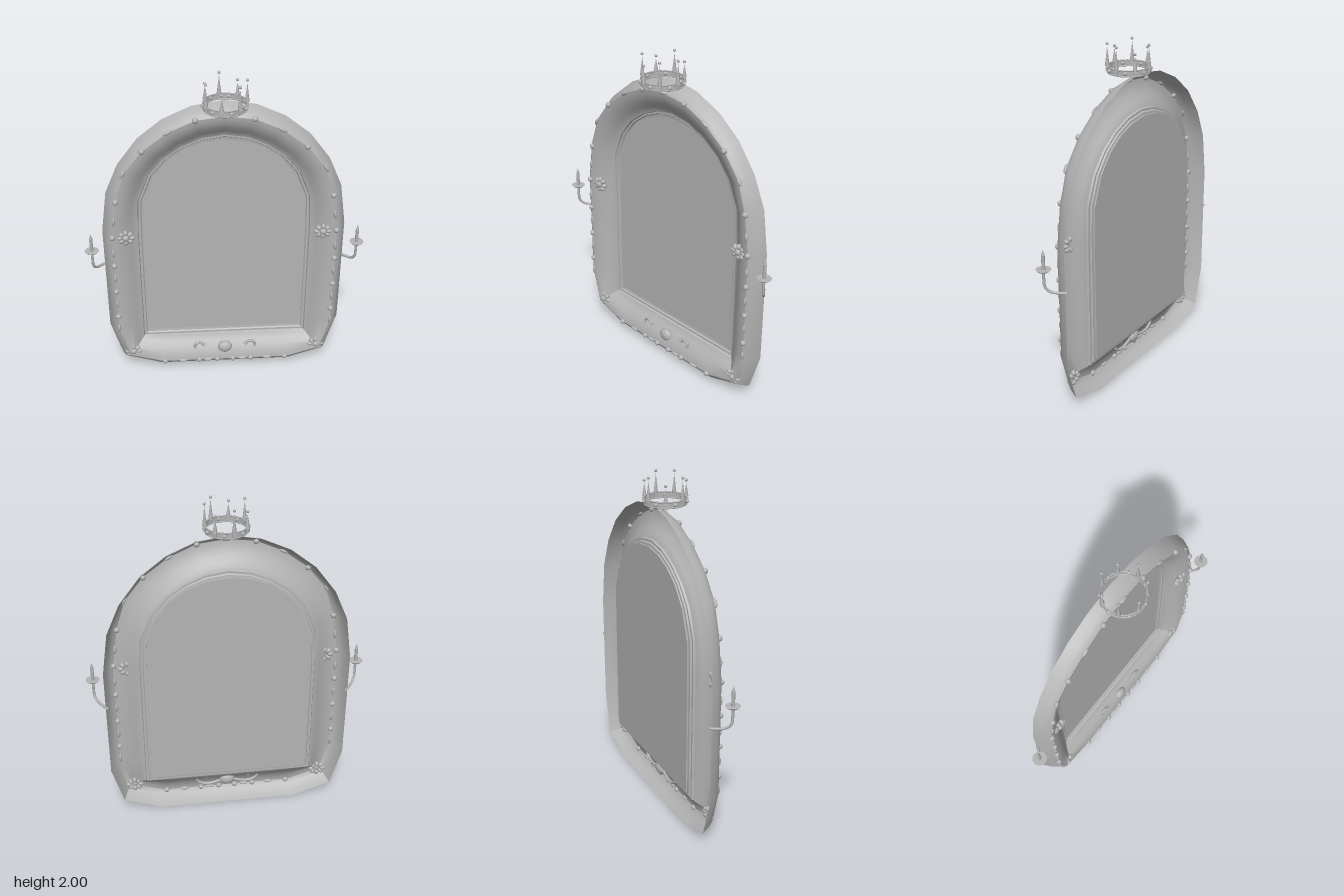
import * as THREE from 'three';
import { toCreasedNormals } from 'three/addons/utils/BufferGeometryUtils.js';

const V = (x, y, z = 0) => new THREE.Vector3(x, y, z);

// Half outlines, from bottom centre up the +x side to top centre
const outer = [[0, 0], [.42, 0], [.655, .08], [.725, .32], [.725, 1.02], [.688, 1.28], [.61, 1.46], [.49, 1.62], [.345, 1.735], [.18, 1.81], [0, 1.84]];
const ridge = [[0, .065], [.4, .065], [.605, .13], [.665, .34], [.665, 1.02], [.63, 1.26], [.575, 1.44], [.465, 1.58], [.32, 1.69], [.165, 1.76], [0, 1.78]];
const inner = [[0, .215], [.38, .215], [.515, .215], [.515, .36], [.515, 1], [.505, 1.22], [.44, 1.38], [.35, 1.49], [.245, 1.565], [.13, 1.615], [0, 1.635]];
const pane = [[0, .255], [.36, .255], [.475, .255], [.475, .38], [.475, 1], [.47, 1.2], [.405, 1.37], [.32, 1.475], [.225, 1.54], [.12, 1.58], [0, 1.595]];

const closeLoop = half => [...half, ...half.slice(1, -1).reverse().map(([x, y]) => [-x, y])];

// Moulding section: from outline, to outline, blend, z
const section = [
  [outer, ridge, 0, -.09], [outer, ridge, .06, -.08], [outer, ridge, .2, -.06], [outer, ridge, .4, -.036],
  [outer, ridge, .68, -.013], [outer, ridge, 1, -.001],
  [ridge, inner, .15, -.004], [ridge, inner, .35, -.014], [ridge, inner, .55, -.03], [ridge, inner, .75, -.053],
  [ridge, inner, .9, -.07], [ridge, inner, 1, -.076],
  [inner, pane, .12, -.088], [inner, pane, .45, -.088], [inner, pane, .6, -.096], [inner, pane, 1, -.098],
];

function mouldingGeometry() {
  const pos = [], index = [], n = closeLoop(outer).length;
  for (const [from, to, t, z] of section) {
    const a = closeLoop(from), b = closeLoop(to);
    a.forEach((p, i) => pos.push(p[0] + (b[i][0] - p[0]) * t, p[1] + (b[i][1] - p[1]) * t, z));
  }
  for (let j = 0; j < section.length - 1; j++) for (let i = 0; i < n; i++) {
    const a = j * n + i, b = j * n + (i + 1) % n;
    index.push(a, b, a + n, b, b + n, a + n);
  }
  const g = new THREE.BufferGeometry();
  g.setAttribute('position', new THREE.Float32BufferAttribute(pos, 3));
  g.setIndex(index);
  return toCreasedNormals(g, .6);
}

export function createModel() {
  const root = new THREE.Group();
  const grey = new THREE.MeshStandardMaterial({ color: 0xb4b4b4, side: THREE.DoubleSide });
  grey.name = 'plain grey';

  const add = (parent, name, geometry, x = 0, y = 0, z = 0) => {
    const m = new THREE.Mesh(geometry, grey);
    m.name = name;
    m.position.set(x, y, z);
    parent.add(m);
    return m;
  };
  const group = (name, x = 0, y = 0, z = 0) => {
    const g = new THREE.Group();
    g.name = name;
    g.position.set(x, y, z);
    root.add(g);
    return g;
  };

  // Hollow moulded frame and the mirror pane behind it
  add(root, 'frame', mouldingGeometry());
  const paneShape = new THREE.Shape(closeLoop(pane).map(([x, y]) => new THREE.Vector2(x, y)));
  add(root, 'mirrorPane', new THREE.ExtrudeGeometry(paneShape, { depth: .008, bevelEnabled: false }), 0, 0, -.106);

  // Round and long beads along the ridge
  const ball = new THREE.SphereGeometry(1, 12, 8);
  const beads = group('ridgeBeads');
  const roundBeads = [[.05, .065], [.165, .065], [.385, .065], [.663, .44], [.663, .63], [.663, .82], [.663, 1.02], [.63, 1.26], [.465, 1.58], [.165, 1.76]];
  const longBeads = [[.11, .065, 0], [.27, .065, 0], [.663, .35, 1.57], [.663, .535, 1.57], [.663, .725, 1.57], [.663, .91, 1.57], [.648, 1.13, 1.7], [.578, 1.44, 2.1], [.32, 1.69, 2.6]];
  for (const s of [1, -1]) {
    for (const [x, y] of roundBeads) add(beads, 'roundBead', ball, s * x, y, -.002).scale.setScalar(.017);
    for (const [x, y, a] of longBeads) {
      const m = add(beads, 'longBead', ball, s * x, y, -.002);
      m.scale.set(.028, .01, .011);
      m.rotation.z = s * a;
    }
  }
  add(beads, 'longBead', ball, 0, 1.78, -.002).scale.set(.028, .01, .011);

  // Flower rosettes
  for (const s of [1, -1]) for (const y of [.148, 1.008]) {
    const flower = group('rosette', s * .585, y, -.018);
    add(flower, 'flowerCentre', ball, 0, 0, .008).scale.set(.02, .02, .016);
    for (let k = 0; k < 8; k++) {
      const a = k * Math.PI / 4;
      const petal = add(flower, 'petal', ball, Math.cos(a) * .036, Math.sin(a) * .031);
      petal.scale.set(.019, .014, .016);
      petal.rotation.z = a;
    }
  }

  // Scroll ornament at the bottom
  const scroll = group('scrollOrnament', 0, .14, -.032);
  add(scroll, 'scrollBoss', ball).scale.set(.048, .042, .03);
  for (const s of [1, -1]) {
    const pts = [[.03, -.005], [.065, -.018], [.11, -.028], [.16, -.022], [.192, .005], [.185, .032], [.155, .038], [.135, .022]];
    const curve = new THREE.CatmullRomCurve3(pts.map(([x, y]) => V(s * x, y)));
    add(scroll, 'scrollArm', new THREE.TubeGeometry(curve, 32, .009, 8));
    add(scroll, 'scrollTip', ball, s * .135, .022).scale.setScalar(.012);
  }

  // Candle sconces
  for (const s of [1, -1]) {
    const sconce = group(s > 0 ? 'leftSconce' : 'rightSconce');
    const arm = new THREE.CatmullRomCurve3([V(s * .715, .79, -.095), V(s * .745, .793, -.058), V(s * .77, .803, -.026), V(s * .786, .83, -.005), V(s * .788, .87), V(s * .788, .93)]);
    add(sconce, 'sconceArm', new THREE.TubeGeometry(arm, 24, .008, 8));
    add(sconce, 'dripPan', new THREE.CylinderGeometry(.042, .034, .008, 20), s * .788, .933);
    add(sconce, 'candle', new THREE.CylinderGeometry(.01, .01, .085, 10), s * .788, .978);
    add(sconce, 'candleTip', new THREE.ConeGeometry(.01, .035, 10), s * .788, 1.037);
  }

  // Crown: open band with rims, gems and seven spikes
  const crown = group('crown', 0, 1.83, 0);
  add(crown, 'crownBand', new THREE.CylinderGeometry(.119, .119, .038, 28, 1, true), 0, .019);
  for (const y of [.003, .035]) {
    add(crown, 'crownRim', new THREE.TorusGeometry(.12, .004, 6, 28), 0, y).rotation.x = Math.PI / 2;
  }
  for (let k = 0; k < 7; k++) {
    const a = k * Math.PI * 2 / 7, b = a + Math.PI / 7;
    const x = Math.cos(a) * .119, z = -Math.sin(a) * .119;
    const h = k % 2 ? .075 : .11;
    add(crown, 'crownSpike', new THREE.ConeGeometry(.013, h, 8), x, .036 + h / 2, z);
    add(crown, 'spikeBall', ball, x, .05 + h, z).scale.setScalar(.0085);
    add(crown, 'squareGem', new THREE.BoxGeometry(.012, .02, .022), x * 1.03, .019, z * 1.03).rotation.y = a;
    add(crown, 'roundGem', ball, Math.cos(b) * .122, .019, -Math.sin(b) * .122).scale.setScalar(.011);
  }
  return root;
}
